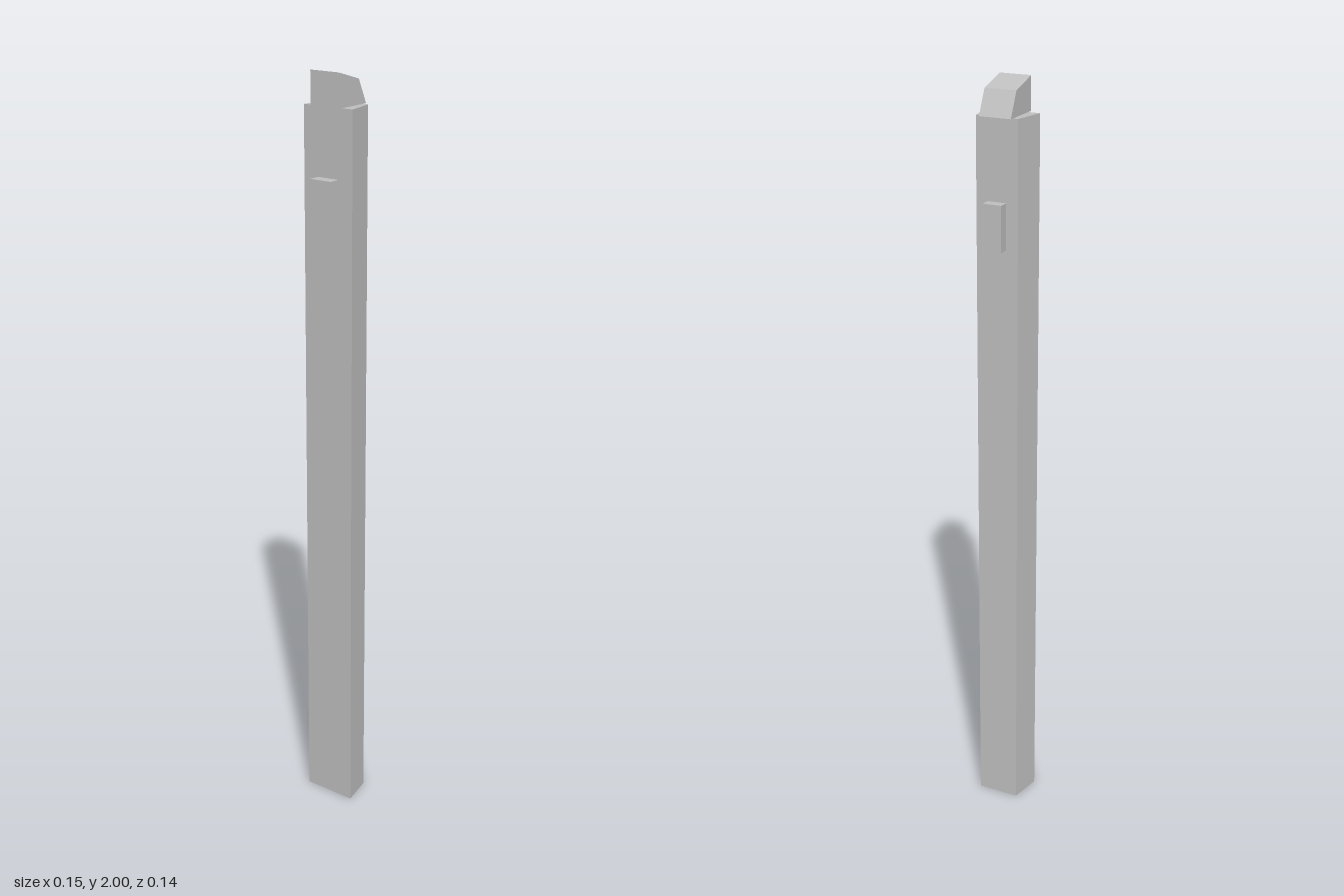
import * as THREE from 'three';

export function createModel() {
  const model = new THREE.Group();
  const grey = new THREE.MeshStandardMaterial({ color: 0xbfbfbf });
  grey.name = 'grey';

  const add = (name, geometry) => {
    const mesh = new THREE.Mesh(geometry, grey);
    mesh.name = name;
    model.add(mesh);
    return mesh;
  };
  const extrude = (points, depth) => new THREE.ExtrudeGeometry(
    new THREE.Shape(points.map(([x, y]) => new THREE.Vector2(x, y))),
    { depth, bevelEnabled: false });

  // Tapered post: trapezoid section, wider at the front (shape y becomes -z)
  const section = [[-0.073, -0.041], [0.073, -0.041], [0.056, 0.045], [-0.056, 0.045]];
  add('post', extrude(section, 1.915).rotateX(-Math.PI / 2));

  // Cap: side profile in (z, y), extruded across the width
  const profile = [[-0.056, 1.915], [0.055, 1.915], [0.055, 2], [-0.026, 1.977]];
  add('cap', extrude(profile, 0.084).translate(0, 0, -0.042).rotateY(-Math.PI / 2));

  // Reflector blocks, each reaching slightly into the post
  const block = (name, width, bottom, top, back, front) =>
    add(name, new THREE.BoxGeometry(width, top - bottom, front - back))
      .position.set(0, (bottom + top) / 2, (back + front) / 2);
  block('frontReflector', 0.062, 1.56, 1.743, 0.036, 0.072);
  block('backReflector', 0.049, 1.593, 1.71, -0.073, -0.04);

  return model;
}
